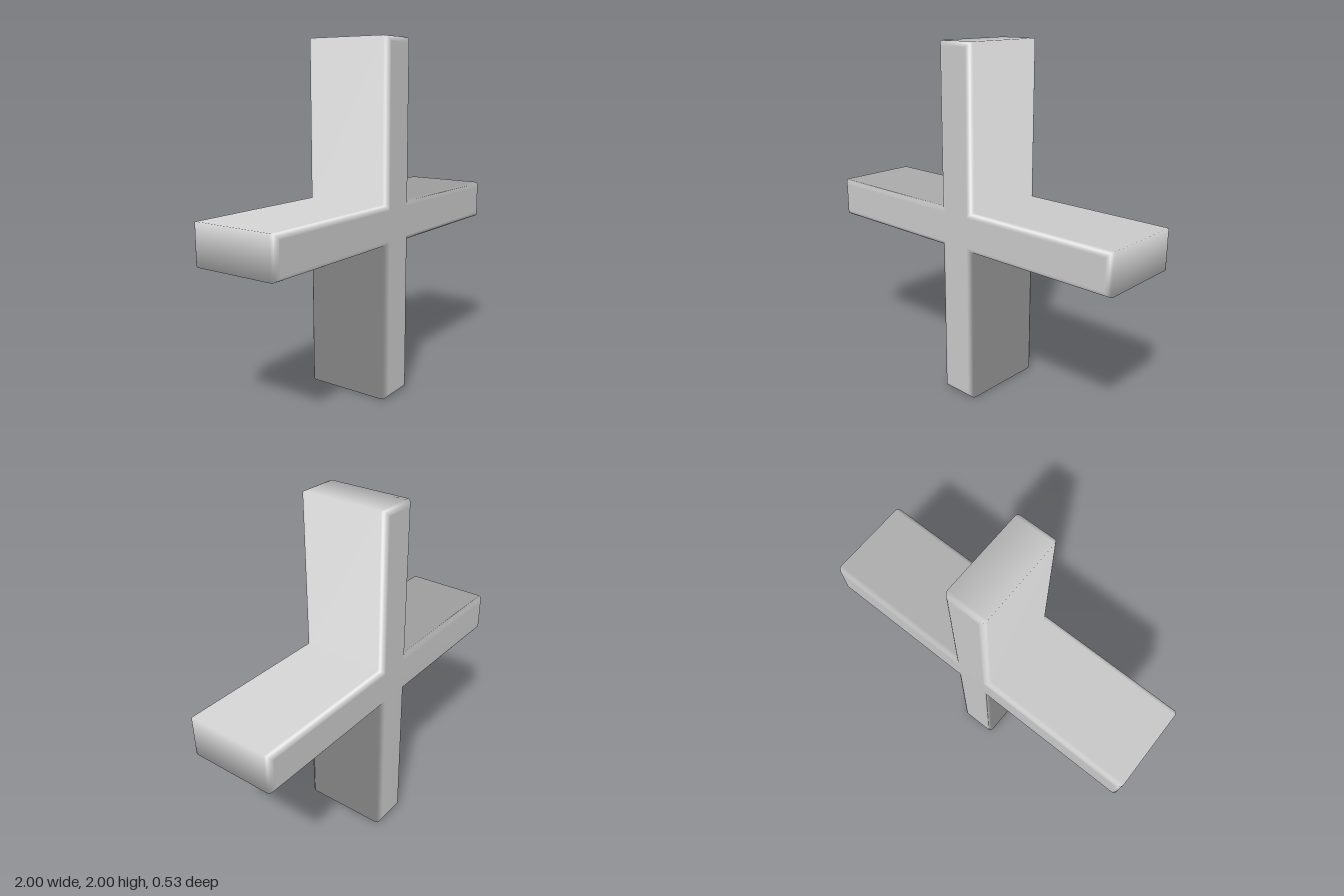
import * as THREE from 'three';

const ARM = 1;          // arm reach from the centre
const HALF_W = 0.113;   // half thickness of an arm
const HALF_D = 0.265;   // half depth
const BEVEL = 0.03;     // edge rounding, front and back

// Outline of four equal arms, one quadrant at a time
function crossShape() {
  const points = [];
  for (let i = 0; i < 4; i++) {
    for (const [x, y] of [[ARM, -HALF_W], [ARM, HALF_W], [HALF_W, HALF_W]]) {
      points.push(new THREE.Vector2(x, y).rotateAround(new THREE.Vector2(), i * Math.PI / 2));
    }
  }
  return new THREE.Shape(points);
}

// Soft shading: side normals lean diagonally outward and roll over the bevel to +-z
function softenNormals(geometry) {
  const pos = geometry.attributes.position;
  const normal = geometry.attributes.normal;
  const flat = HALF_D - BEVEL;
  for (let i = 0; i < pos.count; i++) {
    const z = pos.getZ(i);
    const nz = THREE.MathUtils.clamp((Math.abs(z) - flat) / BEVEL, 0, 1);
    const side = Math.sqrt((1 - nz * nz) / 2);
    normal.setXYZ(i, Math.sign(pos.getX(i)) * side, Math.sign(pos.getY(i)) * side, Math.sign(z) * nz);
  }
}

export function createModel() {
  const group = new THREE.Group();
  group.name = 'plusBlock';

  const depth = 2 * (HALF_D - BEVEL);
  const geometry = new THREE.ExtrudeGeometry(crossShape(), {
    depth,
    bevelEnabled: true,
    bevelThickness: BEVEL,
    bevelSize: BEVEL,
    bevelOffset: -BEVEL,
    bevelSegments: 6,
    steps: 1,
  });
  geometry.translate(0, 0, -depth / 2);
  softenNormals(geometry);

  const cross = new THREE.Mesh(geometry, new THREE.MeshStandardMaterial({ color: 0xcccccc }));
  cross.name = 'crossBody';
  cross.position.y = ARM;
  group.add(cross);
  return group;
}
